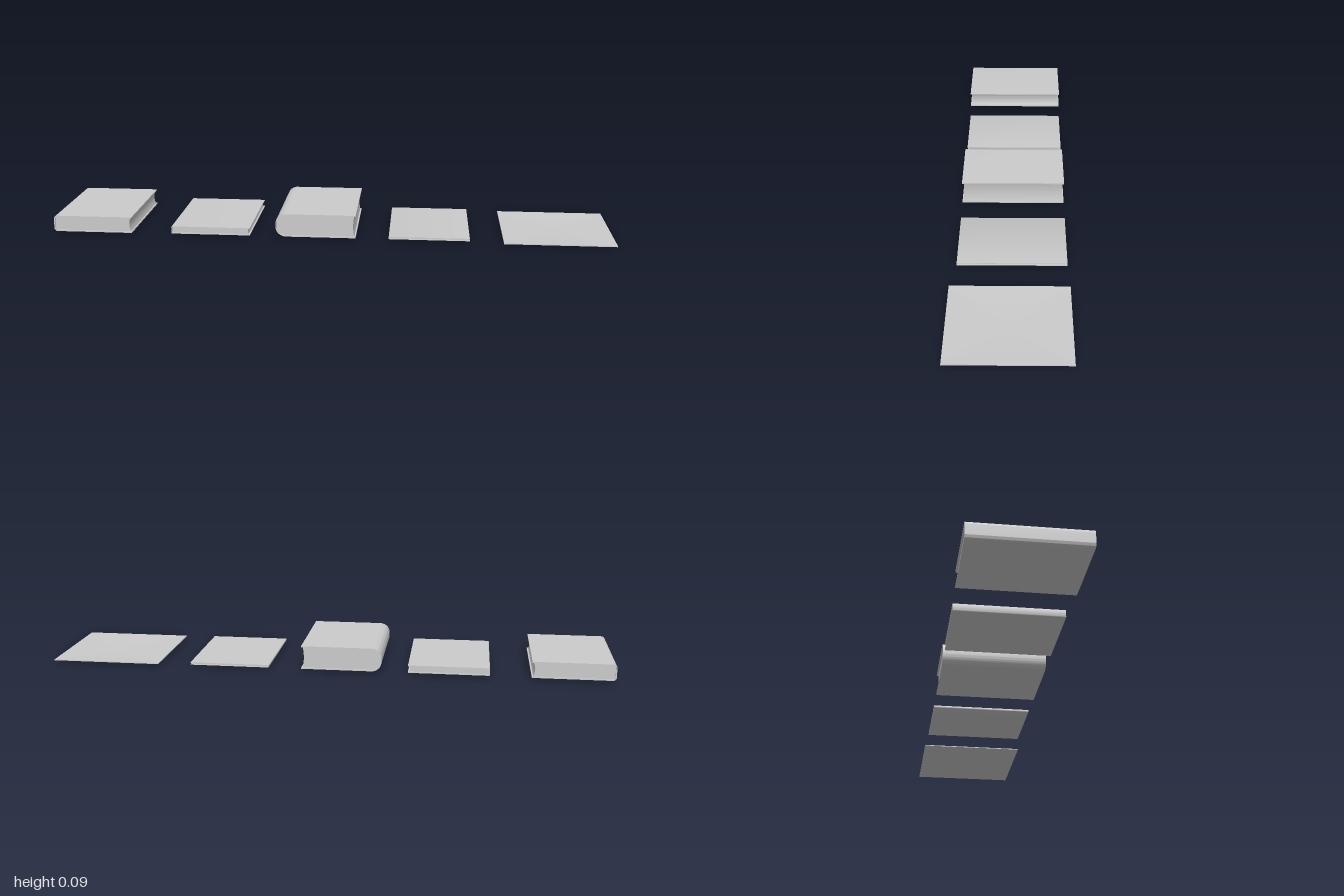
import * as THREE from 'three';
import { toCreasedNormals } from 'three/addons/utils/BufferGeometryUtils.js';

const material = new THREE.MeshStandardMaterial({ color: 0xcccccc });
const sheetMaterial = new THREE.MeshStandardMaterial({ color: 0xcccccc, side: THREE.DoubleSide });

function extrudeAlongZ(shape, z0, z1) {
  const geo = new THREE.ExtrudeGeometry(shape, { depth: z1 - z0, bevelEnabled: false, curveSegments: 12 });
  geo.translate(0, 0, z0);
  return toCreasedNormals(geo, 0.6);
}

// Cover: a C-shaped section, spine on -x with rounded corners of radius r
function coverShape(x0, x1, y0, y1, r, t) {
  const s = new THREE.Shape();
  const ri = Math.max(r - t, 0.0005);
  s.moveTo(x1, y0);
  s.lineTo(x1, y0 + t);
  s.lineTo(x0 + t + ri, y0 + t);
  s.quadraticCurveTo(x0 + t, y0 + t, x0 + t, y0 + t + ri);
  s.lineTo(x0 + t, y1 - t - ri);
  s.quadraticCurveTo(x0 + t, y1 - t, x0 + t + ri, y1 - t);
  s.lineTo(x1, y1 - t);
  s.lineTo(x1, y1);
  s.lineTo(x0 + r, y1);
  s.absarc(x0 + r, y1 - r, r, Math.PI / 2, Math.PI, false);
  s.lineTo(x0, y0 + r);
  s.absarc(x0 + r, y0 + r, r, Math.PI, Math.PI * 1.5, false);
  s.closePath();
  return s;
}

// Page block: rounded at the spine, hollowed along the fore edge
function pagesShape(x0, x1, y0, y1, r, hollow) {
  const s = new THREE.Shape();
  s.moveTo(x0 + r, y0);
  s.lineTo(x1, y0);
  s.quadraticCurveTo(x1 - hollow * 2, (y0 + y1) / 2, x1, y1);
  s.lineTo(x0 + r, y1);
  s.quadraticCurveTo(x0, y1, x0, y1 - r);
  s.lineTo(x0, y0 + r);
  s.quadraticCurveTo(x0, y0, x0 + r, y0);
  return s;
}

function makeBook({ name, x0, x1, top, z0, z1, r, t, hollow }) {
  const book = new THREE.Group();
  book.name = name;
  const base = 0.007;
  const cover = new THREE.Mesh(extrudeAlongZ(coverShape(x0, x1, base, top, r, t), z0, z1), material);
  cover.name = 'cover';
  const pages = new THREE.Mesh(
    extrudeAlongZ(
      pagesShape(x0 + t, x1 - 0.005, base + t, top - t, Math.max(r - t, 0.0005), hollow),
      z0 + 0.006, z1 - 0.006),
    material);
  pages.name = 'pages';
  book.add(cover, pages);
  return book;
}

// Loose sheet: a thin slab whose middle sags to the ground
function makeSheet() {
  const w = 0.39, d = 0.392, t = 0.003;
  const geo = new THREE.BoxGeometry(w, t, d, 16, 1, 16);
  const p = geo.attributes.position;
  for (let i = 0; i < p.count; i++) {
    const u = p.getX(i) / (w / 2), v = p.getZ(i) / (d / 2);
    const rise = 0.006 * Math.max(u * u, v * v);
    p.setY(i, p.getY(i) + t / 2 + rise);
  }
  geo.computeVertexNormals();
  const sheet = new THREE.Mesh(geo, sheetMaterial);
  sheet.name = 'looseSheet';
  sheet.position.x = 0.805;
  return sheet;
}

export function createModel() {
  const model = new THREE.Group();
  model.name = 'bookSet';
  const books = [
    { name: 'mediumBook', x0: -1, x1: -0.715, top: 0.065, z0: -0.195, z1: 0.183, r: 0.012, t: 0.004, hollow: 0.005 },
    { name: 'slimBook', x0: -0.572, x1: -0.288, top: 0.034, z0: -0.19, z1: 0.177, r: 0.003, t: 0.003, hollow: 0.002 },
    { name: 'thickBook', x0: -0.195, x1: 0.09, top: 0.09, z0: -0.19, z1: 0.178, r: 0.036, t: 0.004, hollow: 0.004 },
    { name: 'thinBooklet', x0: 0.207, x1: 0.492, top: 0.016, z0: -0.19, z1: 0.177, r: 0.002, t: 0.002, hollow: 0.0005 },
  ];
  for (const b of books) model.add(makeBook(b));
  model.add(makeSheet());
  return model;
}
